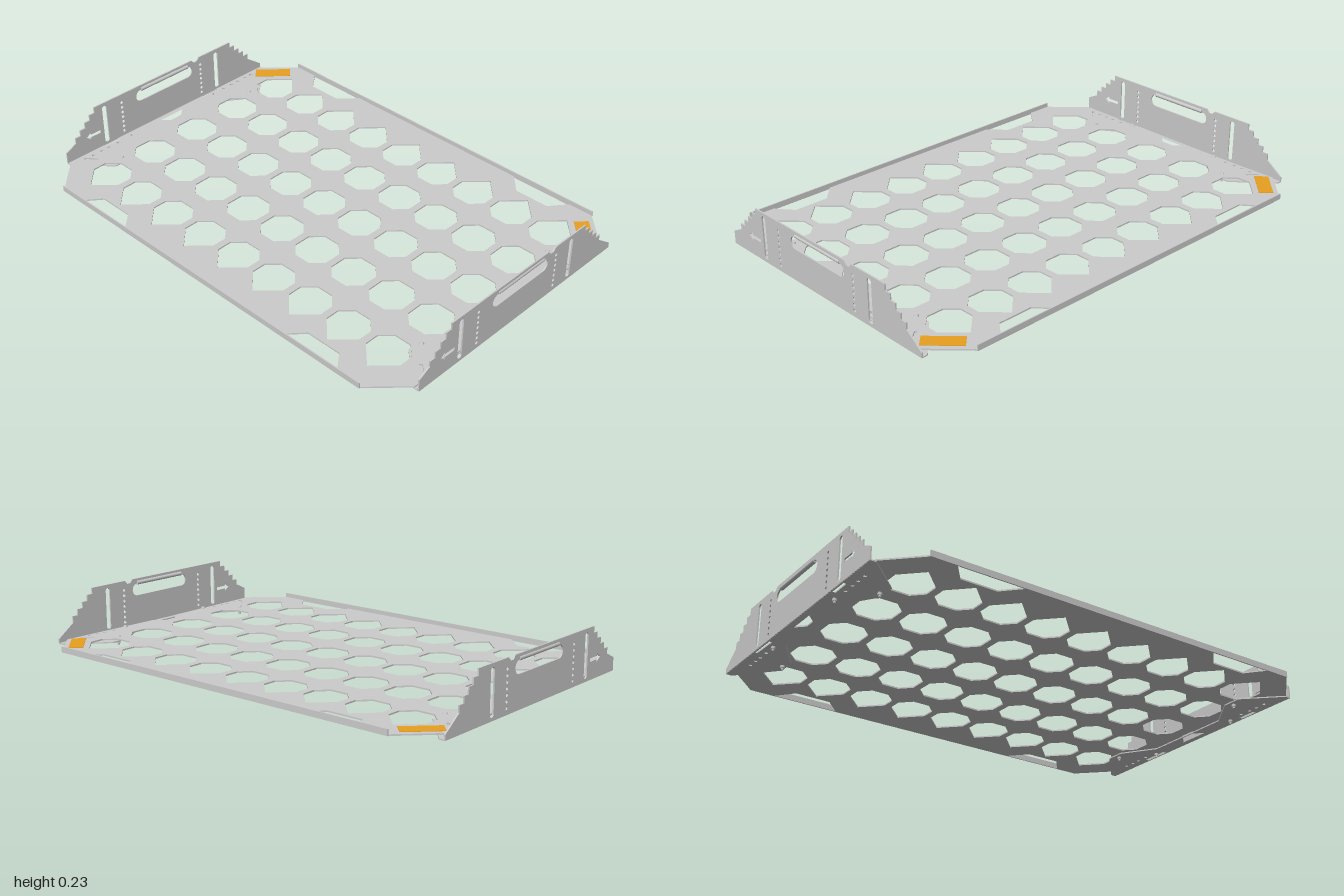
import * as THREE from 'three';

const grey = new THREE.MeshStandardMaterial({ color: 0xcccccc });
const orange = new THREE.MeshStandardMaterial({ color: 0xe8a020 });

const poly = (pts, C = THREE.Path) => new C(pts.map(p => new THREE.Vector2(p[0], p[1])));

function circle(x, y, r) {
  const p = new THREE.Path();
  p.absarc(x, y, r, 0, Math.PI * 2, false);
  return p;
}

// Rounded slot between two end centres
function slot(x0, y0, x1, y1, r) {
  const a = Math.atan2(y1 - y0, x1 - x0), p = new THREE.Path();
  p.absarc(x1, y1, r, a - Math.PI / 2, a + Math.PI / 2, false);
  p.absarc(x0, y0, r, a + Math.PI / 2, a + Math.PI * 1.5, false);
  p.closePath();
  return p;
}

function extrude(shape, depth) {
  return new THREE.ExtrudeGeometry(shape, { depth, bevelEnabled: false, curveSegments: 6 });
}

// Flat sheet drawn in (x, z), its top face at the given height
function sheet(shape, top, thick) {
  return extrude(shape, thick).rotateX(Math.PI / 2).translate(0, top, 0);
}

function add(parent, name, geometry, material = grey) {
  const m = new THREE.Mesh(geometry, material);
  m.name = name;
  parent.add(m);
  return m;
}

// Octagonal opening; tip = +1 / -1 gives a pointed end toward +z / -z
function opening(x, z, tip) {
  const r = 0.083, h = 0.037;
  const pts = [[r, -h], [h, -r], [-h, -r], [-r, -h]];
  if (tip) pts.push([-r, 0.024], [0, 0.107], [r, 0.024]);
  else pts.push([-r, h], [-h, r], [h, r], [r, h]);
  const s = tip < 0 ? -1 : 1;
  return poly(pts.map(([a, b]) => [x + a, z + s * b]));
}

function plateShape() {
  // Quarter outline mirrored to all four corners
  const q = [[0.925, 0.03], [0.965, 0.07], [0.975, 0.55], [0.84, 0.685], [0.73, 0.685],
    [0.67, 0.61], [0.515, 0.61], [0.445, 0.685]];
  const flip = (sx, sz) => q.map(([x, z]) => [x * sx, z * sz]);
  const shape = poly([...flip(1, 1), ...flip(-1, 1).reverse(), ...flip(-1, -1), ...flip(1, -1).reverse()],
    THREE.Shape);
  for (let c = -4; c <= 4; c++) {
    for (let r = -2; r <= 2; r++) {
      shape.holes.push(opening(c * 0.1965, r * 0.2415, Math.abs(r) === 2 ? Math.sign(r) : 0));
    }
  }
  // Adjustment holes and angled slots near the corners
  for (const sx of [-1, 1]) {
    for (const sz of [-1, 1]) {
      for (const z of [0.31, 0.36, 0.40, 0.445]) shape.holes.push(circle(sx * 0.953, sz * z, 0.007));
      shape.holes.push(slot(sx * 0.955, sz * 0.485, sx * 0.92, sz * 0.455, 0.006));
    }
  }
  return shape;
}

// Upright side panel drawn in (z, y)
function panelShape() {
  const pts = [[-0.578, 0.02], [0.553, 0.02], [0.553, 0.074], [0.5, 0.1]];
  for (let i = 0; i < 5; i++) {
    const z = 0.5 - i * 0.0275, y = 0.125 + i * 0.02625;
    pts.push([z, y], [z - 0.0275, y]);
  }
  pts.push([0.39, 0.23], [-0.16, 0.23], [-0.174, 0.215], [-0.19, 0.215], [-0.204, 0.23]);
  for (let i = 4; i >= 0; i--) {
    const z = -0.5 + i * 0.0275, y = 0.125 + i * 0.02625;
    pts.push([z + 0.0275 - (i === 4 ? 0.0005 : 0), y], [z, y]);
  }
  pts.push([-0.5, 0.098], [-0.578, 0.042]);
  const clean = pts.filter((p, i) => !i || Math.hypot(p[0] - pts[i - 1][0], p[1] - pts[i - 1][1]) > 0.004);
  const shape = poly(clean, THREE.Shape);
  // Tall slots, hand hole, hole columns and direction arrow
  for (const z of [0.337, -0.303]) shape.holes.push(slot(z, 0.045, z, 0.203, 0.012));
  shape.holes.push(slot(-0.133, 0.181, 0.136, 0.181, 0.027));
  for (const z of [0.243, -0.21]) {
    for (let i = 0; i < 7; i++) shape.holes.push(circle(z, 0.046 + i * 0.024, 0.007));
  }
  shape.holes.push(poly([[0.444, 0.1], [0.42, 0.117], [0.42, 0.107], [0.367, 0.107],
    [0.367, 0.093], [0.42, 0.093], [0.42, 0.083]]));
  return shape;
}

// Folded foot of a side panel, tucked under the plate
function flangeShape(s) {
  const shape = poly([[0.994, 0.553], [0.97, 0.553], [0.83, 0.42], [0.83, 0.34], [0.925, 0.2], [0.925, -0.2],
    [0.83, -0.34], [0.83, -0.42], [0.97, -0.578], [0.994, -0.578]].map(([x, z]) => [x * s, z]), THREE.Shape);
  const cut = pts => shape.holes.push(poly(pts.map(([x, z]) => [x * s, z])));
  cut([[0.972, 0.28], [0.988, 0.28], [0.988, 0.36], [0.972, 0.36]]);
  cut([[0.972, -0.33], [0.988, -0.33], [0.988, -0.21], [0.972, -0.21]]);
  cut([[0.93, -0.03], [0.968, -0.07], [0.968, 0.07], [0.93, 0.03]]);
  for (const z of [0.31, 0.36, 0.40, 0.445]) {
    for (const sz of [-1, 1]) shape.holes.push(circle(s * 0.953, sz * z, 0.007));
  }
  return shape;
}

export function createModel() {
  const model = new THREE.Group();
  model.name = 'perforatedTray';

  // Slightly sloping deck with its lips and coloured corner marks
  const deck = new THREE.Group();
  deck.name = 'deck';
  deck.position.y = 0.03;
  deck.rotation.x = 0.006;
  model.add(deck);
  add(deck, 'perforatedPlate', sheet(plateShape(), 0.003, 0.006));
  for (const s of [-1, 1]) {
    add(deck, s > 0 ? 'frontLip' : 'backLip',
      new THREE.BoxGeometry(1.68, 0.025, 0.005).translate(0, 0.0095, s * 0.6865));
    const mark = add(deck, 'cornerMark', new THREE.BoxGeometry(0.16, 0.002, 0.06), orange);
    mark.position.set(s * 0.89, 0.004, -0.565);
    mark.rotation.y = -s * Math.PI / 4;
  }

  // Side brackets: upright panel, foot, grip and bolts
  for (const s of [-1, 1]) {
    const bracket = new THREE.Group();
    bracket.name = s > 0 ? 'leftBracket' : 'rightBracket';
    model.add(bracket);
    add(bracket, 'sidePanel',
      extrude(panelShape(), 0.006).rotateY(-Math.PI / 2).translate(s * 0.993 + 0.003, 0, 0));
    add(bracket, 'bottomFlange', sheet(flangeShape(s), 0.024, 0.005));
    add(bracket, 'handGrip',
      new THREE.CylinderGeometry(0.009, 0.009, 0.267, 12).rotateX(Math.PI / 2).translate(s * 0.991, 0.211, 0));
    for (const [x, z] of [[0.85, 0.372], [0.85, -0.374], [0.957, 0.24], [0.957, -0.24]]) {
      const bolt = new THREE.Group();
      bolt.name = 'bolt';
      bolt.position.set(s * x, 0, z);
      bracket.add(bolt);
      add(bolt, 'shank', new THREE.CylinderGeometry(0.005, 0.005, 0.036, 10).translate(0, 0.018, 0));
      add(bolt, 'nut', new THREE.CylinderGeometry(0.009, 0.009, 0.01, 6).translate(0, 0.013, 0));
      add(bolt, 'head', new THREE.CylinderGeometry(0.007, 0.01, 0.007, 12).translate(0, 0.038, 0));
    }
  }
  return model;
}
